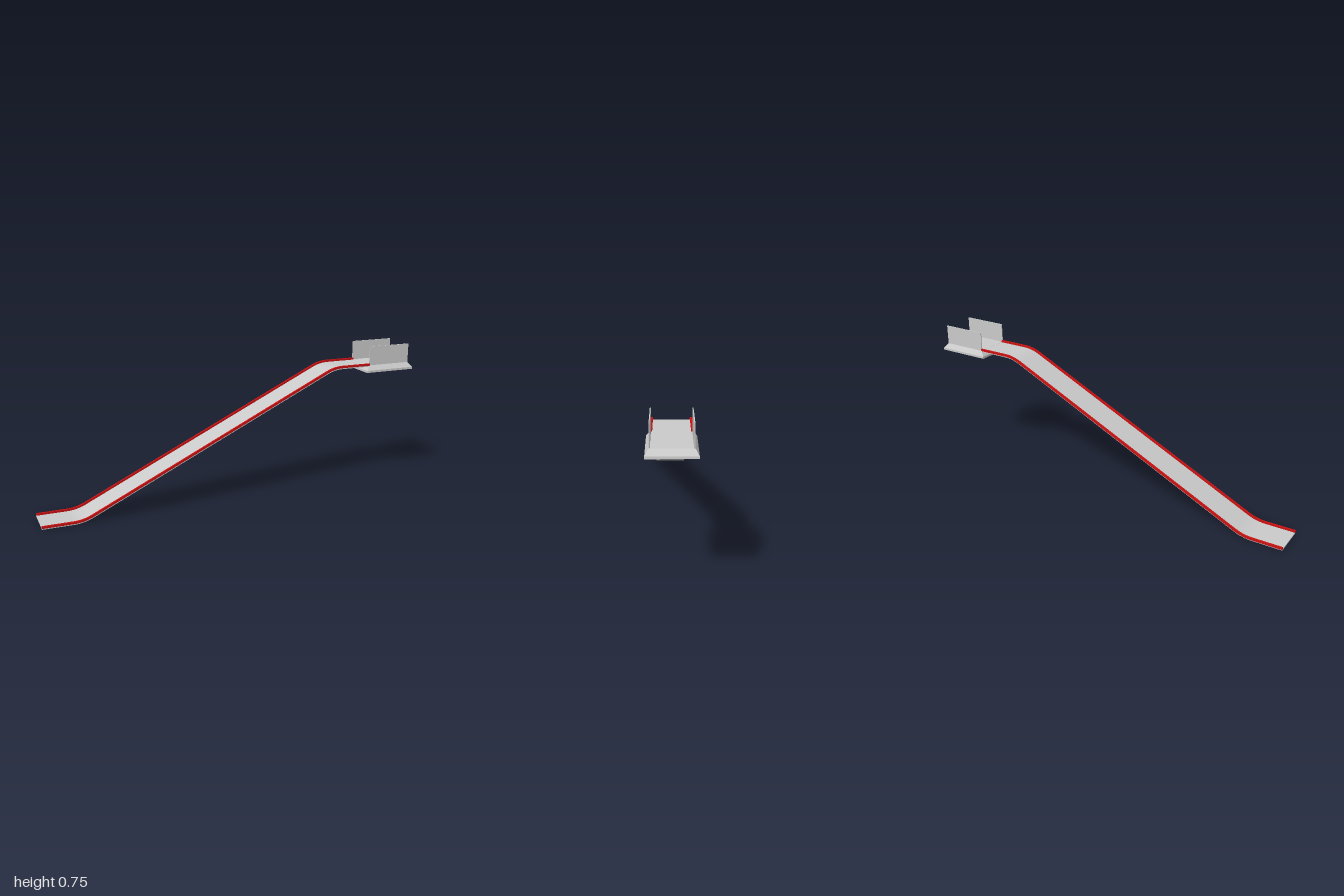
import * as THREE from 'three';
import { toCreasedNormals } from 'three/addons/utils/BufferGeometryUtils.js';

const grey = new THREE.MeshStandardMaterial({ color: 0xcccccc });
const red = new THREE.MeshStandardMaterial({ color: 0xcc1111 });
const v = (x, y) => new THREE.Vector2(x, y);

// Underside line of the slide: run-out, bend, ramp, bend, upper landing
const RISE = 0.638;
const LOW = v(-0.8, 0), HIGH = v(0.54, RISE);
function slidePath(endX) {
  const along = (t) => LOW.clone().lerp(HIGH, t);
  const lower = new THREE.QuadraticBezierCurve(v(-0.85, 0), LOW, along(0.034));
  const upper = new THREE.QuadraticBezierCurve(along(0.97), HIGH, v(0.585, RISE));
  return [v(-1, 0), ...lower.getPoints(8), ...upper.getPoints(8), v(endX, RISE)];
}

// Strip that follows the path between two offsets and two z positions
function strip(name, endX, d0, d1, z0, z1, material) {
  const path = slidePath(endX);
  const normals = path.map((p, i) => {
    const a = path[Math.max(i - 1, 0)], b = path[Math.min(i + 1, path.length - 1)];
    const t = b.clone().sub(a).normalize();
    return v(-t.y, t.x);
  });
  const edge = (d) => path.map((p, i) => p.clone().addScaledVector(normals[i], d));
  const shape = new THREE.Shape([...edge(d0), ...edge(d1).reverse()]);
  const geo = new THREE.ExtrudeGeometry(shape, { depth: z1 - z0, bevelEnabled: false });
  geo.translate(0, 0, z0);
  const mesh = new THREE.Mesh(toCreasedNormals(geo, 0.5), material);
  mesh.name = name;
  return mesh;
}

export function createModel() {
  const model = new THREE.Group();
  model.name = 'slide';

  // Slide bed with a red rail along each edge
  model.add(strip('slideBed', 0.745, 0, 0.007, -0.085, 0.085, grey));
  model.add(strip('leftRail', 0.745, 0.006, 0.017, 0.08, 0.09, red));
  model.add(strip('rightRail', 0.745, 0.006, 0.017, -0.09, -0.08, red));

  // Platform: short vertical lip, then sides sloping in to a smaller top
  const geo = new THREE.BoxGeometry(2, 2, 2, 1, 2, 1);
  const levels = { '-1': [0.61, 0.14, 0.106], 0: [0.621, 0.139, 0.106], 1: [0.646, 0.118, 0.09] };
  const pos = geo.attributes.position;
  for (let i = 0; i < pos.count; i++) {
    const [y, halfX, halfZ] = levels[Math.round(pos.getY(i))];
    pos.setXYZ(i, 0.86 + pos.getX(i) * halfX, y, pos.getZ(i) * halfZ);
  }
  const platform = new THREE.Mesh(toCreasedNormals(geo, 0.2), grey);
  platform.name = 'platform';
  model.add(platform);

  // Thin guard panels on both sides of the platform
  for (const side of [1, -1]) {
    const panel = new THREE.Mesh(new THREE.BoxGeometry(0.236, 0.102, 0.004), grey);
    panel.position.set(0.86, 0.695, side * 0.087);
    panel.name = side > 0 ? 'frontGuardPanel' : 'backGuardPanel';
    model.add(panel);
  }
  return model;
}
